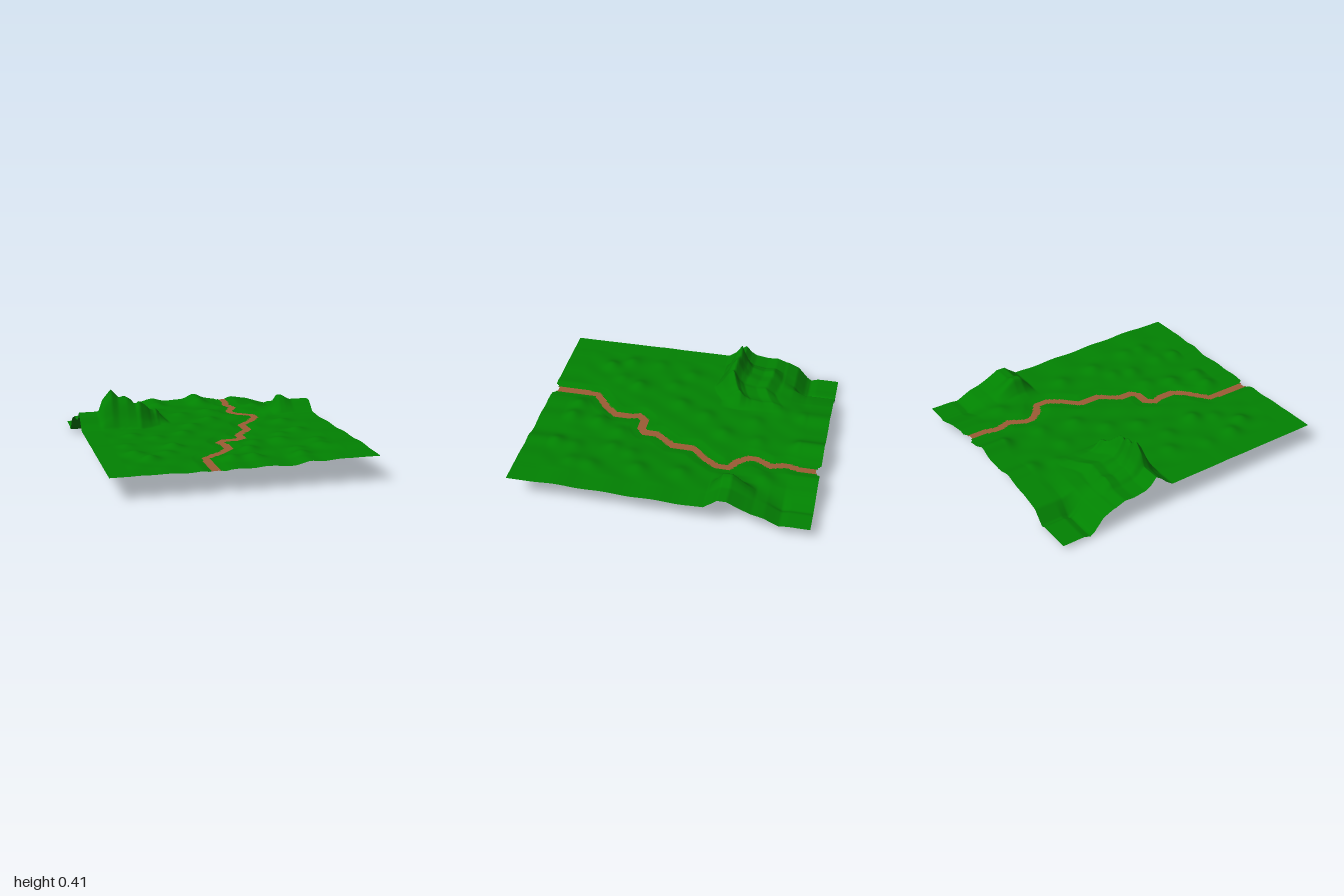
import * as THREE from 'three';

const clamp = THREE.MathUtils.clamp;

// piecewise-linear profile through [position, value] pairs
function profile(points, t) {
  if (t <= points[0][0]) return points[0][1];
  for (let i = 1; i < points.length; i++) {
    const [a, va] = points[i - 1], [b, vb] = points[i];
    if (t <= b) return va + (vb - va) * (t - a) / (b - a);
  }
  return points[points.length - 1][1];
}

// path centre line, [x, z]
const PATH = [[0.34, -1], [0.34, -0.85], [0.32, -0.77], [0.35, -0.67], [0.3, -0.58], [0.29, -0.52],
  [0.35, -0.44], [0.42, -0.4], [0.42, -0.31], [0.36, -0.22], [0.27, -0.13], [0.27, 0.02], [0.22, 0.08],
  [0.17, 0.15], [0.17, 0.24], [0.13, 0.27], [0.03, 0.27], [-0.01, 0.32], [0.01, 0.38], [0.01, 0.49],
  [-0.06, 0.57], [-0.19, 0.67], [-0.2, 0.75], [-0.2, 1]];

function pathDistance(x, z) {
  let best = 9;
  for (let i = 1; i < PATH.length; i++) {
    const [ax, az] = PATH[i - 1], [bx, bz] = PATH[i];
    const dx = bx - ax, dz = bz - az;
    const t = clamp(((x - ax) * dx + (z - az) * dz) / (dx * dx + dz * dz), 0, 1);
    best = Math.min(best, Math.hypot(x - ax - t * dx, z - az - t * dz));
  }
  return best;
}

// large features: a profile across x times a profile across z, with the z centre bending along x
const STRAIGHT = [[0, 0]];
const FEATURES = [
  { // left mountain ridge
    x: [[-0.73, 0.105], [-0.7, 0.19], [-0.64, 0.26], [-0.59, 0.21], [-0.53, 0.215], [-0.47, 0.16], [-0.44, 0.175],
      [-0.4, 0.14], [-0.36, 0.1], [-0.33, 0.09], [-0.31, 0.1], [-0.27, 0.05], [-0.22, 0]],
    z: [[-0.61, 0], [-0.54, 0.25], [-0.47, 0.2], [-0.38, 0.32], [-0.34, 0.55], [-0.3, 1], [-0.26, 0.75], [-0.22, 0.35], [-0.17, 0]],
    bend: [[-0.6, 0], [-0.45, 0.03], [-0.38, 0], [-0.3, -0.05]],
  },
  { // right hill
    x: [[0.5, 0], [0.57, 0.02], [0.6, 0.06], [0.63, 0.115], [0.67, 0.115], [0.73, 0.08]],
    z: [[-0.62, 0], [-0.56, 0.35], [-0.5, 0.75], [-0.46, 1], [-0.4, 0.95], [-0.36, 0.5], [-0.31, 0]],
    bend: STRAIGHT,
  },
  { // left back hollow
    x: [[-0.65, -0.136], [-0.62, -0.152], [-0.58, -0.1], [-0.54, -0.05], [-0.4, -0.015], [-0.25, 0]],
    z: [[-0.85, 0.88], [-0.8, 1], [-0.77, 0.85], [-0.7, 0.25], [-0.62, 0]],
    bend: STRAIGHT,
  },
  { // right back hollow
    x: [[0.42, 0], [0.55, -0.02], [0.64, -0.055], [0.7, -0.072], [0.73, -0.06]],
    z: [[-0.85, 0.9], [-0.8, 1], [-0.77, 0.8], [-0.7, 0.3], [-0.62, 0]],
    bend: STRAIGHT,
  },
  { // gentle rise along the right front
    x: [[0.3, 0], [0.7, 0.026]],
    z: [[-0.5, 0.2], [-0.1, 0.4], [0.3, 0.7], [0.6, 1]],
    bend: STRAIGHT,
  },
];

// small rounded knolls, [x, z, height]
const KNOLLS = [[-0.64, 0.3, 0.018], [-0.62, 0.52, 0.026], [-0.55, 0.66, 0.03], [-0.41, 0.54, 0.02],
  [-0.34, 0.4, 0.03], [-0.05, 0.76, 0.03], [0.1, 0.77, 0.032], [-0.02, 0.56, 0.02], [0.12, 0.57, 0.024],
  [0.4, 0.8, 0.026], [0.42, 0.66, 0.02], [0.6, 0.64, 0.018], [0.61, 0.5, 0.016], [0.38, 0.4, 0.022],
  [0.43, 0.27, 0.022], [0.57, 0.18, 0.02], [0.2, 0.4, 0.018], [-0.55, 0.05, 0.02], [-0.2, 0.05, 0.02],
  [-0.4, 0.15, 0.018], [-0.1, -0.15, 0.02], [0.08, -0.3, 0.02], [-0.1, -0.5, 0.018], [0.12, -0.55, 0.02],
  [-0.25, -0.65, 0.02], [0.12, -0.84, 0.04], [-0.2, -0.82, 0.022], [0.5, -0.65, 0.018], [0.55, -0.1, 0.018]];

function height(px, pz) {
  // the border strips continue the terrain level outwards
  const x = clamp(px, -0.73, 0.73), z = clamp(pz, -0.85, 0.85);
  let bumps = 0.004 * Math.sin(x * 23 + 1) * Math.sin(z * 19 + x * 6);
  for (const [kx, kz, h] of KNOLLS) {
    bumps += h * Math.exp(-((x - kx) ** 2 + (z - kz) ** 2) / 0.0036);
  }
  const d = pathDistance(px, pz);
  let y = 0.15 + bumps * clamp((d - 0.02) / 0.06, 0, 1) - 0.01 * clamp(1 - (d - 0.03) / 0.06, 0, 1);
  for (const f of FEATURES) y += profile(f.x, x) * profile(f.z, z - profile(f.bend, x));
  return y;
}

export function createModel() {
  const grass = new THREE.MeshStandardMaterial({ color: 0x028202, side: THREE.DoubleSide });
  grass.name = 'grass green';
  const dirt = new THREE.MeshStandardMaterial({ color: 0x9c5c35, side: THREE.DoubleSide });
  dirt.name = 'dirt brown';

  const NX = 174, NZ = 200, W = 1.734, D = 2;
  const positions = [], grassFaces = [], dirtFaces = [];
  for (let j = 0; j <= NZ; j++) {
    for (let i = 0; i <= NX; i++) {
      const x = (i / NX - 0.5) * W, z = (j / NZ - 0.5) * D;
      positions.push(x, height(x, z), z);
    }
  }

  // sort each cell into grass or path, leaving a rounded notch at both path ends
  for (let j = 0; j < NZ; j++) {
    for (let i = 0; i < NX; i++) {
      const x = ((i + 0.5) / NX - 0.5) * W, z = ((j + 0.5) / NZ - 0.5) * D;
      const notch = [[0.34, -1], [-0.2, 1]].some(([nx, nz]) => Math.hypot((x - nx) / 0.052, (z - nz) / 0.027) < 1);
      if (notch) continue;
      const a = j * (NX + 1) + i, b = a + 1, c = a + NX + 1, d = c + 1;
      (pathDistance(x, z) < 0.026 ? dirtFaces : grassFaces).push(a, c, b, b, c, d);
    }
  }

  const geometry = new THREE.BufferGeometry();
  geometry.setAttribute('position', new THREE.Float32BufferAttribute(positions, 3));
  geometry.setIndex([...grassFaces, ...dirtFaces]);
  geometry.addGroup(0, grassFaces.length, 0);
  geometry.addGroup(grassFaces.length, dirtFaces.length, 1);
  geometry.computeBoundingBox();
  geometry.translate(0, -geometry.boundingBox.min.y, 0);
  geometry.computeVertexNormals();

  const terrain = new THREE.Mesh(geometry, [grass, dirt]);
  terrain.name = 'terrainWithPath';
  const group = new THREE.Group();
  group.name = 'landscape';
  group.add(terrain);
  return group;
}
